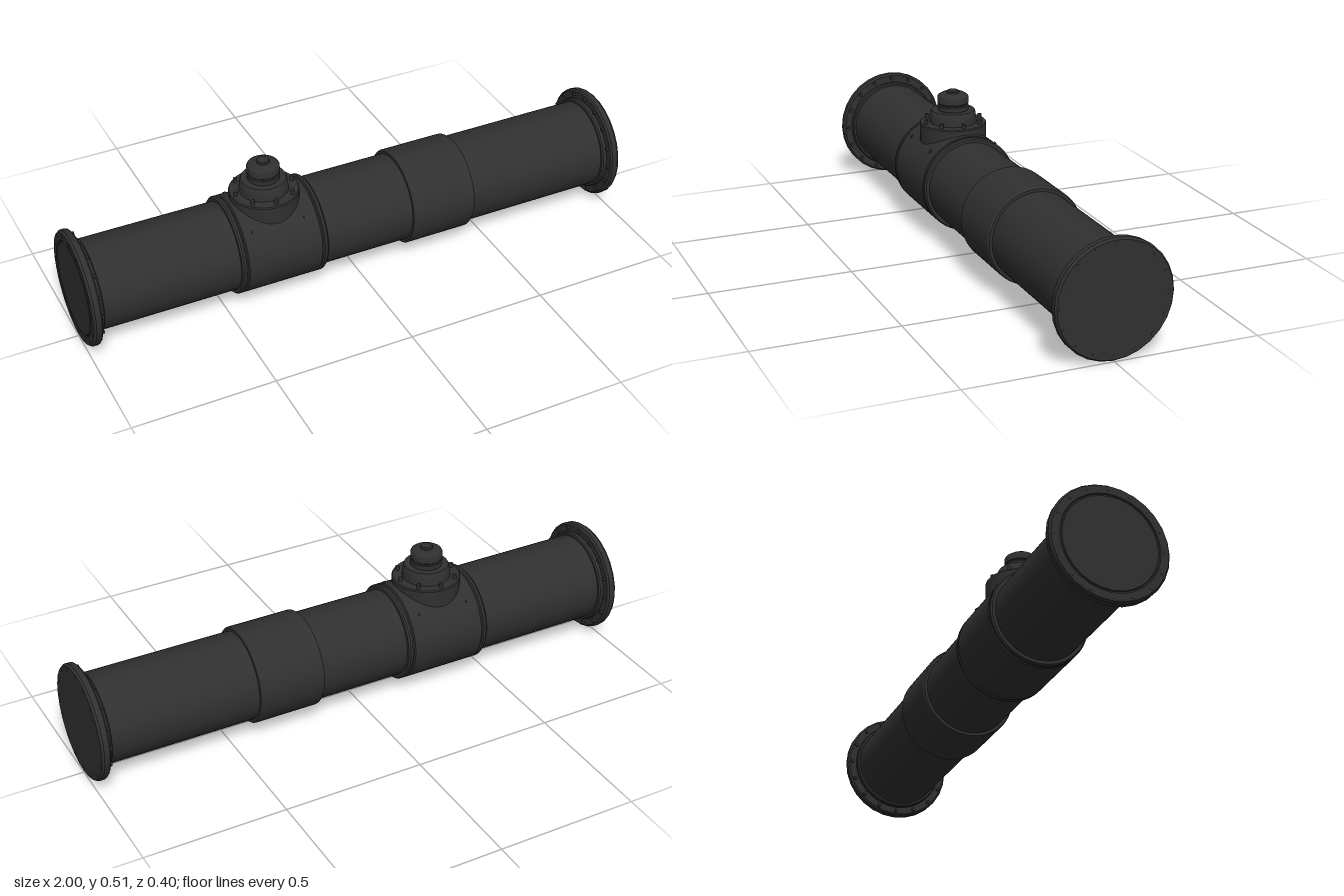
import * as THREE from 'three';
import { toCreasedNormals } from 'three/addons/utils/BufferGeometryUtils.js';

const AXIS_Y = 0.2;
const VALVE_X = -0.31;

export function createModel() {
  const model = new THREE.Group();
  model.name = 'pipeWithValve';
  const iron = new THREE.MeshStandardMaterial({ color: 0x303030 });
  iron.name = 'dark iron';

  const lathe = (profile, sides) => toCreasedNormals(
    new THREE.LatheGeometry(profile.map(([r, h]) => new THREE.Vector2(r, h)), sides), 0.5);

  const add = (parent, name, geometry) => {
    const mesh = new THREE.Mesh(geometry, iron);
    mesh.name = name;
    parent.add(mesh);
    return mesh;
  };

  // Everything turned around the pipe axis; profile heights run along +x
  const line = new THREE.Group();
  line.name = 'pipeLine';
  line.position.y = AXIS_Y;
  line.rotation.z = -Math.PI / 2;
  model.add(line);

  add(line, 'pipe', lathe([[0, -0.985], [0.156, -0.985], [0.156, 0.985], [0, 0.985]], 56));

  // Valve sleeve with a grooved rim at each end
  const half = [[0.172, 0.134], [0.166, 0.137], [0.166, 0.141], [0.172, 0.144], [0.172, 0.153], [0.167, 0.159], [0.15, 0.159]];
  const sleeve = [...half.map(([r, h]) => [r, -h]).reverse(), ...half]
    .map(([r, h]) => [r, h + VALVE_X + 0.003]);
  add(line, 'valveSleeve', lathe(sleeve, 56));

  // Plain coupling sleeve
  add(line, 'couplingSleeve', lathe([[0.15, 0.18], [0.166, 0.18], [0.17, 0.186],
    [0.17, 0.414], [0.166, 0.42], [0.15, 0.42]], 56));

  // End flanges: weld collar, bevelled disc and a ring of bolts
  for (const side of [-1, 1]) {
    const flange = new THREE.Group();
    flange.name = side > 0 ? 'leftFlange' : 'rightFlange';
    if (side < 0) flange.rotation.x = Math.PI;
    line.add(flange);

    add(flange, 'collar', lathe([[0.15, 0.95], [0.163, 0.95], [0.167, 0.955], [0.167, 0.975]], 56));
    const face = side > 0 ? [[0, 1]] : [[0.167, 1], [0.165, 0.995], [0.161, 0.995], [0.159, 1], [0, 1]];
    add(flange, 'disc', lathe([[0.14, 0.967], [0.193, 0.967], [0.2, 0.973],
      [0.2, 0.992], [0.194, 1], ...face], 28));

    for (let i = 0; i < 16; i++) {
      const a = (i / 16) * Math.PI * 2;
      const bolt = add(flange, 'flangeBolt', new THREE.CylinderGeometry(0.007, 0.007, 0.042, 6));
      bolt.position.set(Math.sin(a) * 0.182, 0.9798, Math.cos(a) * 0.182);
    }
  }

  // Valve standing on its sleeve
  const valve = new THREE.Group();
  valve.name = 'valve';
  valve.position.x = VALVE_X;
  model.add(valve);

  add(valve, 'neck', lathe([[0.12, 0.28], [0.12, 0.388], [0.117, 0.392], [0, 0.392]], 40));
  add(valve, 'bonnet', lathe([[0.085, 0.385], [0.084, 0.402], [0.08, 0.432], [0.077, 0.437], [0, 0.437]], 40));
  add(valve, 'cap', lathe([[0.053, 0.435], [0.056, 0.44], [0.056, 0.454], [0.053, 0.457], [0.053, 0.461],
    [0.056, 0.464], [0.056, 0.484], [0.053, 0.49], [0.042, 0.497], [0.022, 0.499], [0, 0.499]], 40));
  add(valve, 'stem', lathe([[0.022, 0.495], [0.022, 0.504], [0.019, 0.508], [0, 0.508]], 24));

  for (let i = 0; i < 8; i++) {
    const a = (i / 8) * Math.PI * 2;
    const bolt = add(valve, 'bonnetBolt', new THREE.CylinderGeometry(0.007, 0.007, 0.022, 10));
    bolt.position.set(Math.sin(a) * 0.103, 0.397, Math.cos(a) * 0.103);
  }

  // Small screws on the flanks of the sleeve
  for (const sx of [-1, 1]) {
    for (const sz of [-1, 1]) {
      const a = sz * 0.8;
      const screw = add(valve, 'sleeveScrew', new THREE.CylinderGeometry(0.006, 0.006, 0.012, 8));
      screw.position.set(sx * 0.095, AXIS_Y + Math.cos(a) * 0.17, Math.sin(a) * 0.17);
      screw.rotation.x = a;
    }
  }
  return model;
}
